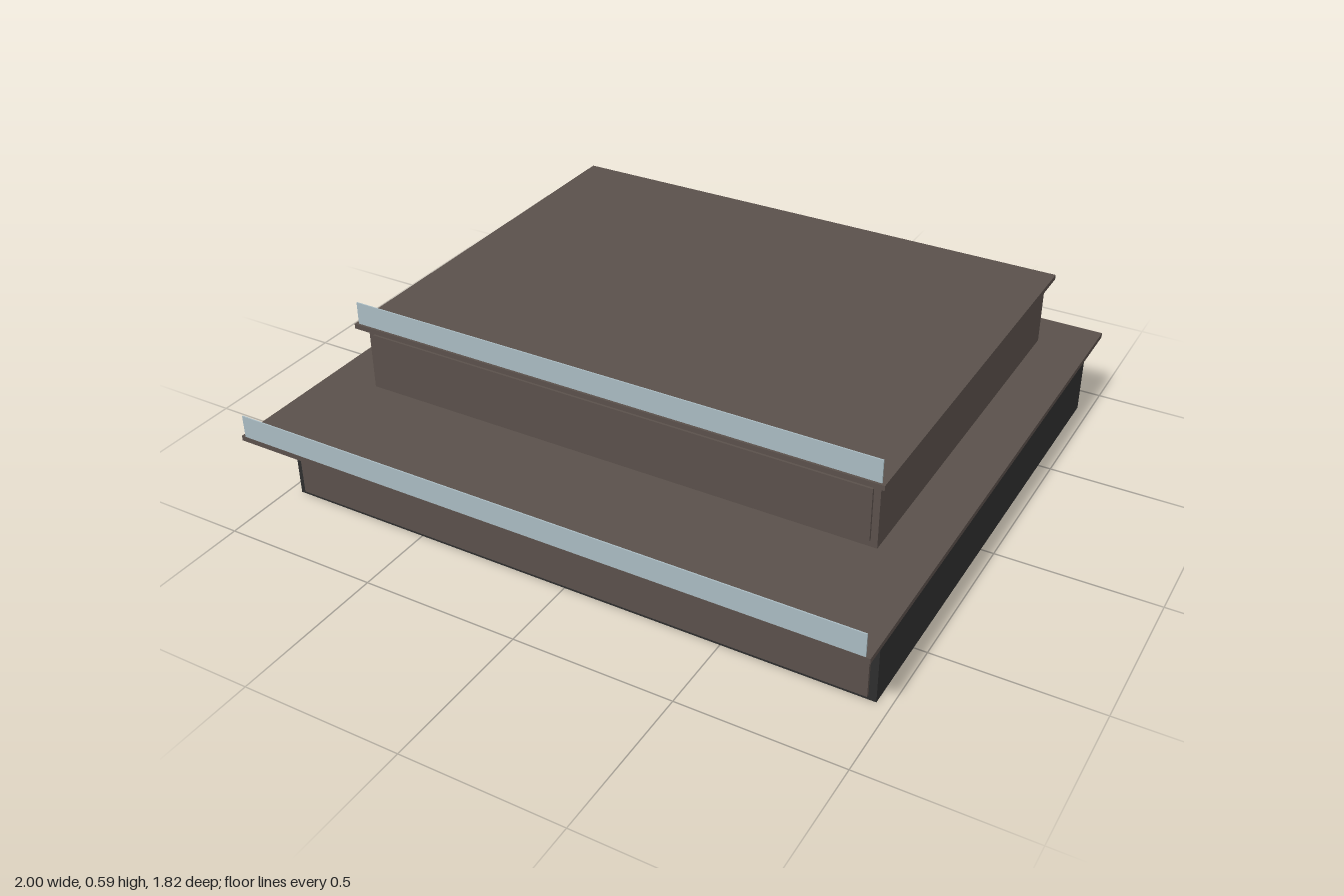
import * as THREE from 'three';

export function createModel() {
  const model = new THREE.Group();
  const material = (name, color) => {
    const m = new THREE.MeshStandardMaterial({ color });
    m.name = name;
    return m;
  };
  const taupe = material('taupe cladding', 0x5a504b);
  const dark = material('charcoal wall', 0x2e2e2e);
  const glass = material('pale blue glass', 0xa8bac1);

  const add = (name, geometry, mat) => {
    const mesh = new THREE.Mesh(geometry, mat);
    mesh.name = name;
    model.add(mesh);
    return mesh;
  };
  // Box given by its lower and upper limits on each axis
  const block = (name, mat, [x0, x1], [y0, y1], [z0, z1]) => {
    const g = new THREE.BoxGeometry(x1 - x0, y1 - y0, z1 - z0);
    g.translate((x0 + x1) / 2, (y0 + y1) / 2, (z0 + z1) / 2);
    return add(name, g, mat);
  };

  // Lower storey: hollow, open underneath
  for (const [name, s] of [['leftWall', 1], ['rightWall', -1]]) {
    const xs = [s * 0.96, s * 0.945].sort((a, b) => a - b);
    block(name, dark, xs, [0, 0.27], [-0.89, 0.73]);
  }
  block('backWall', dark, [-0.945, 0.945], [0, 0.27], [-0.89, -0.875]);

  // Dark frame around the front panel
  const frame = new THREE.Shape([
    new THREE.Vector2(-0.96, 0), new THREE.Vector2(0.96, 0),
    new THREE.Vector2(0.96, 0.27), new THREE.Vector2(-0.96, 0.27),
  ]);
  frame.holes.push(new THREE.Path([
    new THREE.Vector2(-0.937, 0.015), new THREE.Vector2(-0.937, 0.247),
    new THREE.Vector2(0.937, 0.247), new THREE.Vector2(0.937, 0.015),
  ]));
  const frameGeometry = new THREE.ExtrudeGeometry(frame, { depth: 0.016, bevelEnabled: false });
  frameGeometry.translate(0, 0, 0.73);
  add('frontFrame', frameGeometry, dark);
  block('lowerFrontPanel', taupe, [-0.937, 0.937], [0.015, 0.247], [0.735, 0.755]);

  // Terrace slab with its glass balustrade
  block('terraceSlab', taupe, [-1, 1], [0.27, 0.286], [-0.91, 0.91]);
  block('terraceBalustrade', glass, [-0.987, 0.987], [0.286, 0.357], [0.905, 0.909]);

  // Upper storey with its front panel
  block('upperStorey', taupe, [-0.835, 0.835], [0.286, 0.5], [-0.765, 0.5]);
  block('upperFrontPanel', taupe, [-0.815, 0.815], [0.307, 0.475], [0.5, 0.508]);

  // Roof slab with its glass balustrade
  block('roofSlab', taupe, [-0.858, 0.858], [0.5, 0.516], [-0.79, 0.535]);
  block('roofBalustrade', glass, [-0.847, 0.847], [0.516, 0.587], [0.524, 0.528]);

  return model;
}
